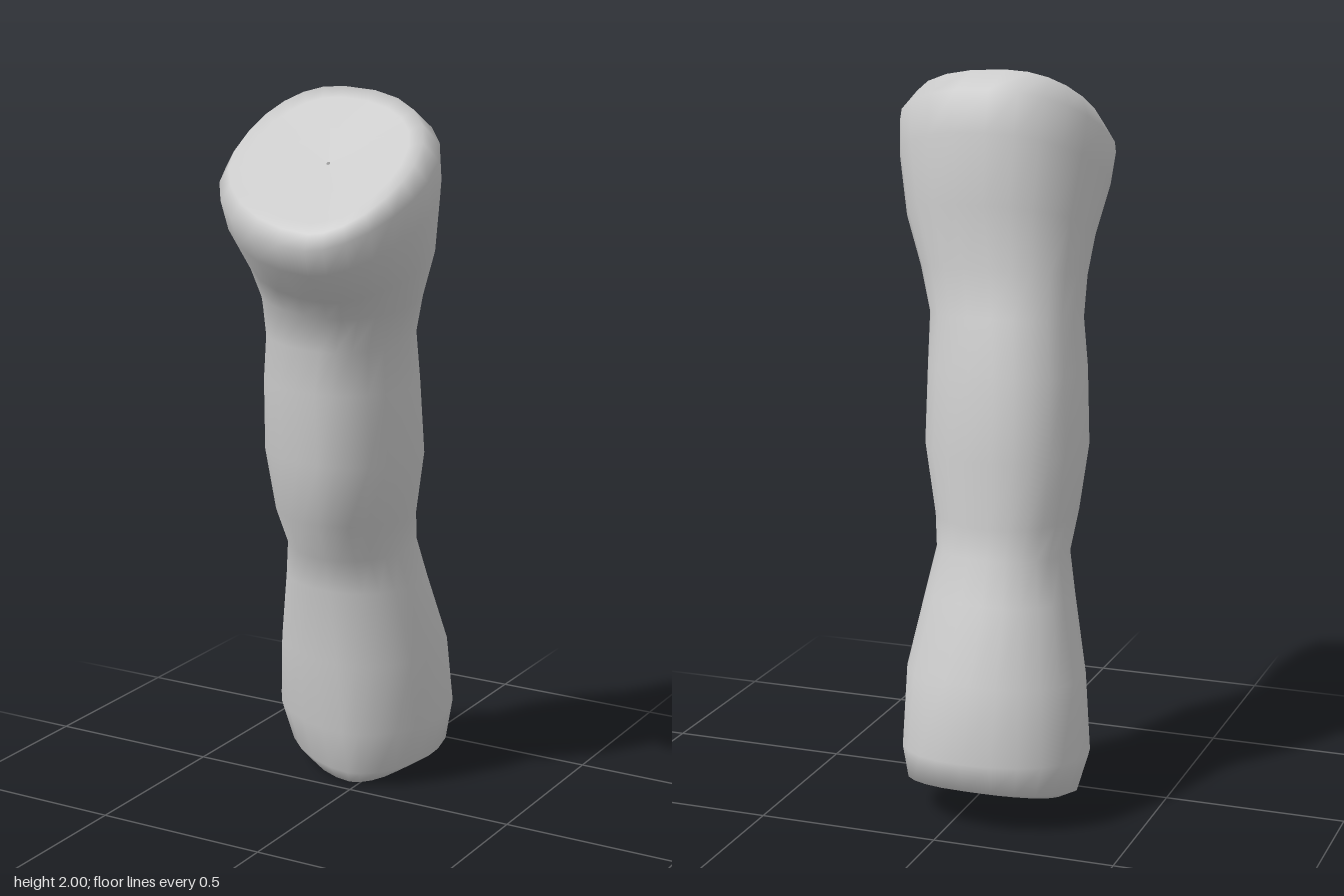
import * as THREE from 'three';

const SIDES = 24;

// Tilted cross-sections from foot to head:
// [front z, front y, back z, back y, min x, max x, x of front point, x of back point, front sharpness]
const SECTIONS = [
  [-0.05, 0.00, -0.36, 0.09, -0.25, 0.10, -0.03, -0.08, 1.15],
  [-0.02, 0.04, -0.43, 0.12, -0.31, 0.165, -0.02, -0.06, 1.15],
  [0.01, 0.17, -0.445, 0.20, -0.34, 0.18, -0.02, -0.05, 1.1],
  [0.025, 0.38, -0.40, 0.40, -0.315, 0.18, -0.03, -0.06, 1.05],
  [0.045, 0.60, -0.32, 0.60, -0.265, 0.145, -0.04, -0.07, 1],
  [0.07, 0.70, -0.285, 0.72, -0.24, 0.125, -0.04, -0.07, 1],
  [0.14, 0.82, -0.26, 0.80, -0.25, 0.145, -0.02, -0.07, 1.05],
  [0.18, 1.00, -0.25, 0.98, -0.27, 0.183, 0.0, -0.07, 1.05],
  [0.19, 1.20, -0.21, 1.20, -0.255, 0.185, 0.0, -0.06, 1],
  [0.20, 1.32, -0.165, 1.35, -0.235, 0.19, 0.02, -0.04, 1],
  [0.23, 1.42, -0.13, 1.48, -0.237, 0.23, 0.06, -0.02, 1.05],
  [0.31, 1.48, -0.12, 1.65, -0.245, 0.285, 0.10, 0.0, 1.1],
  [0.42, 1.57, -0.105, 1.84, -0.265, 0.325, 0.12, 0.0, 1.1],
  [0.45, 1.64, -0.07, 1.95, -0.27, 0.338, 0.125, 0.0, 1.1],
  [0.43, 1.68, -0.02, 2.00, -0.235, 0.305, 0.125, -0.03, 1.1],
];

// One ring: half ellipses whose front and back points slide sideways
function ring([fz, fy, bz, by, x0, x1, fx, bx, sharp]) {
  const points = [];
  const midX = (x0 + x1) / 2, halfX = (x1 - x0) / 2;
  for (let j = 0; j < SIDES; j++) {
    const t = (j / SIDES) * Math.PI * 2;
    const c = Math.cos(t), s = Math.sin(t);
    const power = s > 0 ? sharp : 0.9;
    const u = Math.sign(c) * Math.abs(c) ** power;
    const v = Math.sign(s) * Math.abs(s) ** power;
    const shift = ((s > 0 ? fx : bx) - midX) * (1 - Math.abs(u));
    const k = (v + 1) / 2;
    points.push(new THREE.Vector3(
      midX + u * halfX + shift,
      THREE.MathUtils.lerp(by, fy, k),
      THREE.MathUtils.lerp(bz, fz, k)));
  }
  return points;
}

// Shrinks a ring toward a centre to close an end
const inset = (points, centre, amount) => points.map((p) => p.clone().lerp(centre, amount));

function loft(rings) {
  const positions = [], index = [];
  rings.forEach((r) => r.forEach((p) => positions.push(p.x, p.y, p.z)));
  for (let i = 0; i < rings.length - 1; i++) {
    for (let j = 0; j < SIDES; j++) {
      const n = (j + 1) % SIDES;
      const a = i * SIDES + j, b = i * SIDES + n;
      const c = a + SIDES, d = b + SIDES;
      index.push(a, c, b, b, c, d);
    }
  }
  const geometry = new THREE.BufferGeometry();
  geometry.setAttribute('position', new THREE.Float32BufferAttribute(positions, 3));
  geometry.setIndex(index);
  geometry.computeVertexNormals();
  return geometry;
}

export function createModel() {
  const group = new THREE.Group();
  const body = SECTIONS.map(ring);
  const first = body[0], last = body[body.length - 1];
  const footCentre = new THREE.Vector3(-0.08, 0.05, -0.21);
  const headCentre = new THREE.Vector3(0.05, 1.825, 0.2);

  // Slanted end faces close in rings, the upper one slightly dished
  const rings = [
    inset(first, footCentre, 0.98),
    inset(first, footCentre, 0.4),
    ...body,
    inset(last, headCentre, 0.15),
    inset(last, headCentre, 0.55),
    inset(last, headCentre, 0.98),
  ];
  const material = new THREE.MeshStandardMaterial({ color: 0xcccccc, side: THREE.DoubleSide });
  const limb = new THREE.Mesh(loft(rings), material);
  limb.name = 'limbSegment';
  group.add(limb);
  return group;
}
